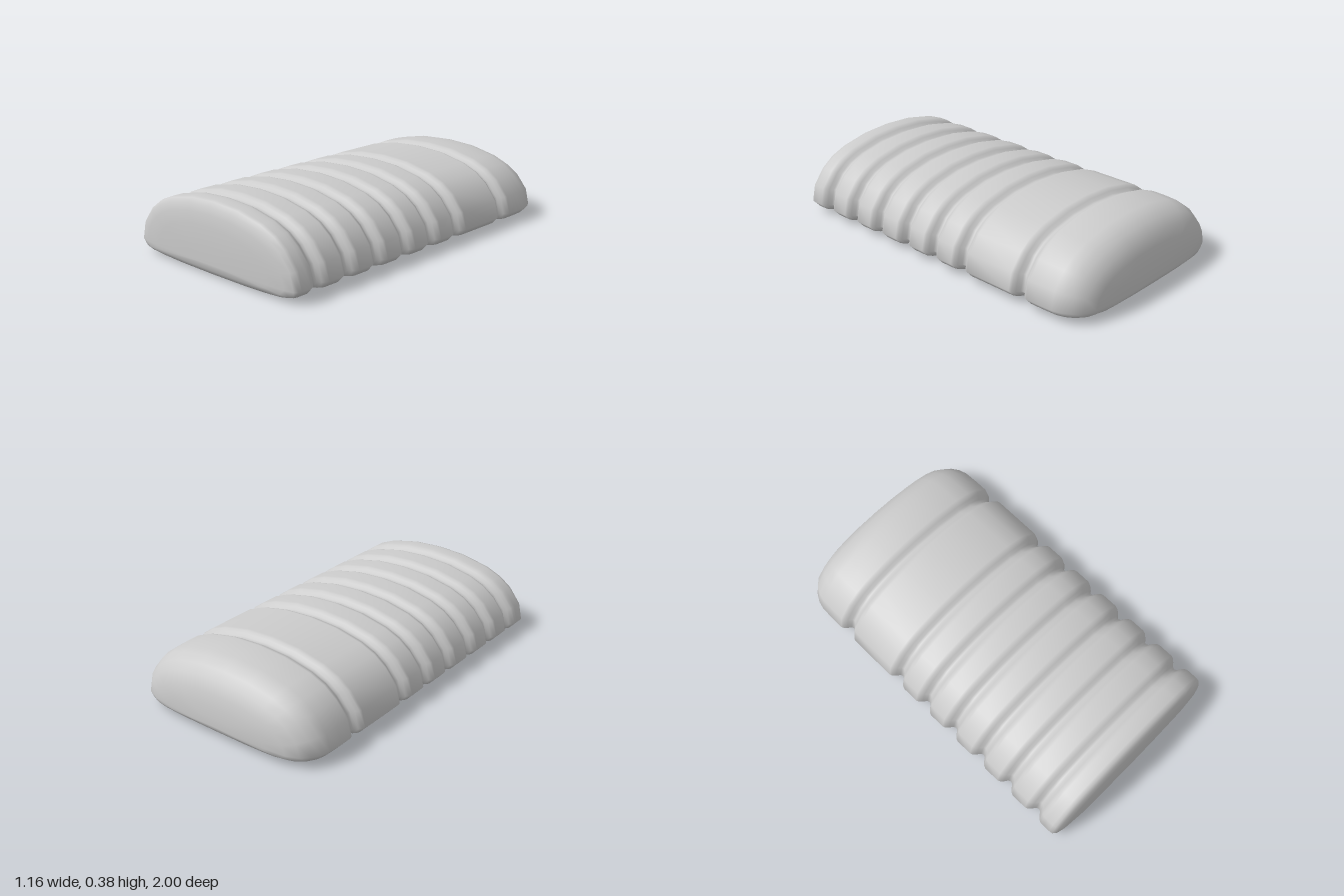
import * as THREE from 'three';

// Half cross-section from bottom centre, round the right side, to top centre
const HALF = [
  [0, 0.002], [0.25, 0.004], [0.4, 0.01], [0.49, 0.017], [0.545, 0.03], [0.578, 0.066],
  [0.557, 0.16], [0.49, 0.246], [0.42, 0.297], [0.33, 0.334], [0.17, 0.368], [0, 0.378],
];
const PROFILE = [...HALF, ...HALF.slice(1, -1).reverse().map(([x, y]) => [-x, y])];
const MID_Y = 0.068;

// Rings: [z, width scale, upper scale, lower scale]
const FRONT = [
  [0.998, 0.35, 0.3, 0.2], [0.994, 0.7, 0.6, 0.5], [0.985, 0.88, 0.79, 0.75],
  [0.973, 0.965, 0.91, 0.9], [0.957, 0.995, 0.98, 0.97], [0.938, 1, 1, 1], [0.9, 1, 1, 1],
];
const BACK = [
  [-0.74, 1, 1, 1], [-0.82, 0.995, 0.98, 1], [-0.865, 0.975, 0.94, 0.98], [-0.91, 0.93, 0.855, 0.93],
  [-0.95, 0.86, 0.72, 0.8], [-0.977, 0.75, 0.53, 0.6], [-0.991, 0.56, 0.33, 0.4], [-0.998, 0.28, 0.15, 0.2],
];
const GROOVES = [0.82, 0.615, 0.41, 0.2, -0.005, -0.215, -0.61];
const GROOVE_SHAPE = [[0.058, 1], [0.043, 0.99], [0.028, 0.965], [0.014, 0.93], [0, 0.92],
  [-0.014, 0.93], [-0.028, 0.965], [-0.043, 0.99], [-0.058, 1]];

// Skin closed rings from front to back, with a pole at each end
function loft(rings) {
  const n = PROFILE.length, pos = [], index = [];
  for (const [z, sx, up, low] of rings) {
    for (const [x, y] of PROFILE) {
      pos.push(x * sx, MID_Y + (y - MID_Y) * (y > MID_Y ? up : low), z);
    }
  }
  const front = pos.length / 3, back = front + 1, last = (rings.length - 1) * n;
  pos.push(0, MID_Y, 1, 0, MID_Y, -1);
  for (let j = 0; j < n; j++) {
    const k = (j + 1) % n;
    for (let i = 0; i < last; i += n) {
      index.push(i + j, i + n + j, i + k, i + k, i + n + j, i + n + k);
    }
    index.push(front, j, k, back, last + k, last + j);
  }
  const geometry = new THREE.BufferGeometry();
  geometry.setAttribute('position', new THREE.Float32BufferAttribute(pos, 3));
  geometry.setIndex(index);
  geometry.computeVertexNormals();
  return geometry;
}

export function createModel() {
  const group = new THREE.Group();
  group.name = 'slicedLoaf';
  // Soft grooves pinch the sides and top; the underside stays flat
  const grooves = GROOVES.flatMap((z) => GROOVE_SHAPE.map(([dz, s]) => [z + dz, s, s - (1 - s) * 0.1, 1]));
  const loaf = new THREE.Mesh(
    loft([...FRONT, ...grooves, ...BACK]),
    new THREE.MeshStandardMaterial({ color: 0xcccccc }),
  );
  loaf.name = 'loaf';
  group.add(loaf);
  return group;
}
